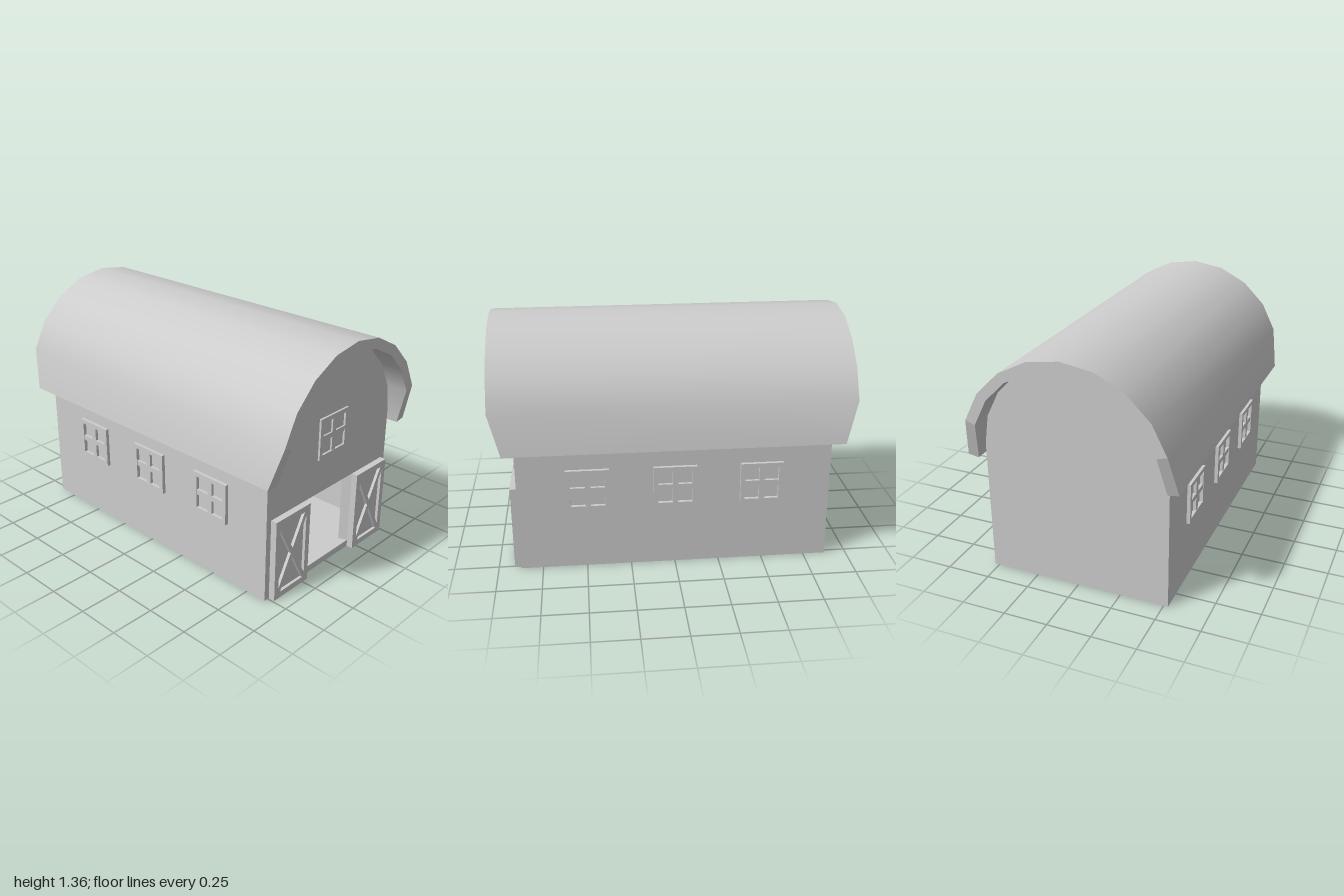
import * as THREE from 'three';

export function createModel() {
  const model = new THREE.Group();
  const grey = new THREE.MeshStandardMaterial({ color: 0xcccccc });
  grey.name = 'plain grey';

  const add = (name, geometry, parent = model) => {
    const mesh = new THREE.Mesh(geometry, grey);
    mesh.name = name;
    parent.add(mesh);
    return mesh;
  };
  const box = (name, w, h, d, x, y, z, parent) =>
    add(name, new THREE.BoxGeometry(w, h, d).translate(x, y, z), parent);
  const pts = (list) => list.map(([x, y]) => new THREE.Vector2(x, y));
  const rect = (x0, y0, x1, y1) => pts([[x0, y0], [x1, y0], [x1, y1], [x0, y1]]);
  const plate = (outline, holes, depth) => {
    const shape = new THREE.Shape(outline);
    holes.forEach((h) => shape.holes.push(new THREE.Path(h)));
    return new THREE.ExtrudeGeometry(shape, { depth, bevelEnabled: false });
  };

  // Mirrored half profiles, running from the left eave over the ridge
  const mirror = (half) => [...half.map(([x, y]) => [-x, y]), ...half.slice(0, -1).reverse()];
  const outer = mirror([[0.597, 0.72], [0.556, 0.952], [0.474, 1.115], [0.343, 1.245], [0.18, 1.329], [0, 1.357]]);
  const inner = mirror([[0.535, 0.711], [0.5, 0.935], [0.425, 1.083], [0.31, 1.198], [0.16, 1.273], [0, 1.297]]);

  // Body: end walls with rounded gables, side walls and floor
  const endOutline = pts([[0.525, 0], [0.525, 0.77], ...inner.slice(1, -1).reverse(), [-0.525, 0.77], [-0.525, 0]]);
  add('frontWall', plate(endOutline, [rect(-0.21, 0.04, 0.21, 0.48)], 0.05)).position.z = 0.825;
  add('backWall', plate(endOutline, [], 0.05)).position.z = -0.875;
  for (const s of [-1, 1]) box('sideWall', 0.05, 0.77, 1.65, s * 0.5, 0.385, 0);
  box('floor', 0.95, 0.04, 1.65, 0, 0.02, 0);

  // Slanted jambs inside the doorway
  for (const s of [-1, 1]) {
    const wedge = plate(pts([[s * 0.21, -0.875], [s * 0.21, -0.825], [s * 0.192, -0.825]]), [], 0.44);
    add('doorJamb', wedge.rotateX(-Math.PI / 2).translate(0, 0.04, 0));
  }

  // Roof shell: strips of quads between pairs of rails
  const strip = (a, b, smooth) => {
    const n = a.length, index = [];
    for (let i = 0; i < n - 1; i++) index.push(i, n + i, i + 1, n + i, n + i + 1, i + 1);
    let g = new THREE.BufferGeometry();
    g.setAttribute('position', new THREE.Float32BufferAttribute([...a, ...b].flat(), 3));
    g.setIndex(index);
    if (!smooth) g = g.toNonIndexed();
    g.computeVertexNormals();
    return g;
  };
  const rail = (profile, s) =>
    profile.map(([x, y], i) => [x, y, s * (i === 0 || i === profile.length - 1 ? 0.935 : 1)]);
  const of = rail(outer, 1), ob = rail(outer, -1), nf = rail(inner, 1), nb = rail(inner, -1);
  const roof = new THREE.Group();
  roof.name = 'roof';
  model.add(roof);
  add('roofTop', strip(ob, of, true), roof);
  add('roofUnderside', strip(nf, nb, true), roof);
  add('roofFrontEdge', strip(of, nf, false), roof);
  add('roofBackEdge', strip(nb, ob, false), roof);
  const e = outer.length - 1;
  add('rightEave', strip([of[e], ob[e]], [nf[e], nb[e]], false), roof);
  add('leftEave', strip([nf[0], nb[0]], [of[0], ob[0]], false), roof);

  // Windows: square frame with slightly recessed cross bars
  const makeWindow = (x, y, z, turn, depth) => {
    const g = new THREE.Group();
    g.name = 'window';
    add('windowFrame', plate(rect(-0.12, -0.12, 0.12, 0.12), [rect(-0.095, -0.095, 0.095, 0.095)], depth), g);
    const d = depth * 0.85;
    box('verticalBar', 0.03, 0.19, d, 0, 0, d / 2, g);
    for (const s of [-1, 1]) box('horizontalBar', 0.08, 0.03, d, s * 0.055, 0, d / 2, g);
    g.position.set(x, y, z);
    g.rotation.y = turn;
    model.add(g);
  };
  makeWindow(0, 0.807, 0.875, 0, 0.012);
  for (const s of [-1, 1])
    for (const z of [-0.485, 0, 0.485]) makeWindow(s * 0.525, 0.48, z, s * Math.PI / 2, 0.02);

  // Open barn doors: frame with an X brace in front of a thin panel
  const w = 0.107, h = 0.205, b = 0.012, L = Math.hypot(w, h);
  const ox = b * L / h, oy = b * L / w;
  const holes = [];
  for (const s of [-1, 1]) {
    holes.push(pts([[-w + ox, s * h], [w - ox, s * h], [0, s * oy]]));
    holes.push(pts([[s * w, -h + oy], [s * w, h - oy], [s * ox, 0]]));
  }
  for (const s of [-1, 1]) {
    const door = new THREE.Group();
    door.name = s > 0 ? 'leftDoor' : 'rightDoor';
    add('doorFrame', plate(rect(-0.14, -0.24, 0.14, 0.24), holes, 0.037), door);
    box('doorPanel', 0.26, 0.46, 0.02, 0, 0, 0.01, door);
    door.position.set(s * 0.35, 0.24, 0.875);
    model.add(door);
  }
  return model;
}
